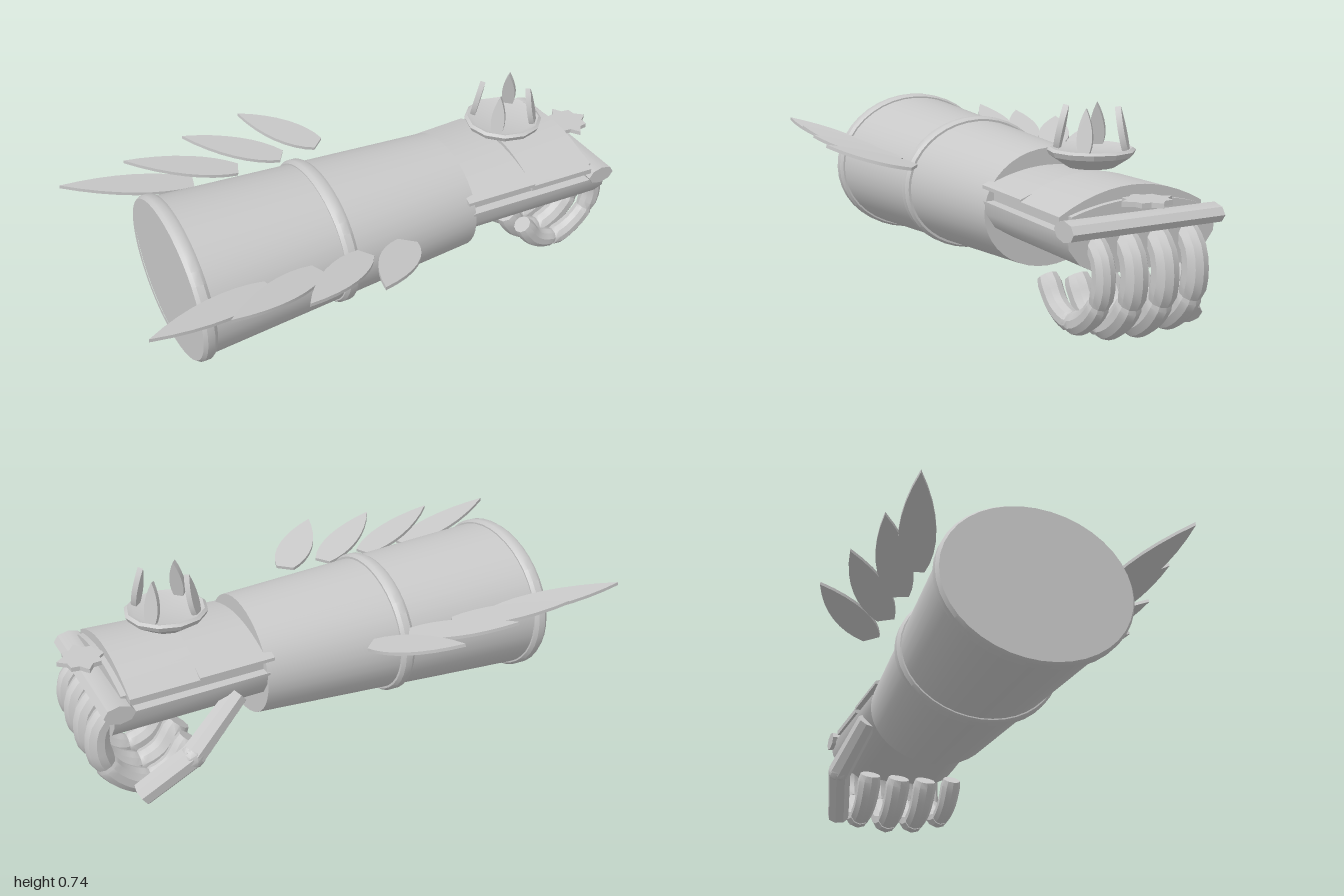
import * as THREE from 'three';
import { toCreasedNormals } from 'three/addons/utils/BufferGeometryUtils.js';

const grey = new THREE.MeshStandardMaterial({ color: 0xc8c8c8 });
grey.name = 'plain grey';
const V = (x, y, z) => new THREE.Vector3(x, y, z);

function add(parent, name, geometry, crease = 0.6) {
  const mesh = new THREE.Mesh(toCreasedNormals(geometry, crease), grey);
  mesh.name = name;
  parent.add(mesh);
  return mesh;
}

// Profile turned around the x axis, flattened into the arm's oval
function armLathe(points, x) {
  const g = new THREE.LatheGeometry(points.map(p => new THREE.Vector2(...p)), 40);
  return g.rotateZ(-Math.PI / 2).scale(1, 1, 1.2).translate(x, 0.36, 0);
}

// Cross-section in (z, y) extruded along x, widening towards the knuckles
function prism(points, x0, x1, widen = 0) {
  const shape = new THREE.Shape(points.map(p => new THREE.Vector2(...p)));
  const g = new THREE.ExtrudeGeometry(shape, { depth: x1 - x0, bevelEnabled: false });
  g.rotateY(Math.PI / 2).translate(x0, 0, 0);
  const pos = g.attributes.position;
  for (let i = 0; i < pos.count; i++) {
    pos.setZ(i, pos.getZ(i) * (1 + widen * (pos.getX(i) - 0.33)));
  }
  return g;
}

// Arched plate section, from edge height y0 up to crown height y1
function arch(halfWidth, y0, y1, thick) {
  const pts = [];
  for (let i = 0; i <= 12; i++) {
    const u = i / 6 - 1;
    pts.push([halfWidth * u, y0 + thick + (y1 - y0 - thick) * (1 - u * u)]);
  }
  pts.push([halfWidth, y0], [-halfWidth, y0]);
  return pts;
}

// Bent segment following a flat curve between t0 and t1, with closed ends
function bentSegment(curve, t0, t1, r0, r1, sides = 10) {
  const steps = 8, pos = [], index = [];
  const rings = [[0, 0], [0, 0.75]];
  for (let i = 1; i < steps; i++) rings.push([i / steps, 1]);
  rings.push([1, 0.85], [1, 0]);
  for (const [u, k] of rings) {
    const t = t0 + (t1 - t0) * u, c = curve.getPointAt(t), d = curve.getTangentAt(t);
    const r = k * (r0 + (r1 - r0) * u);
    for (let j = 0; j < sides; j++) {
      const a = j / sides * Math.PI * 2;
      pos.push(c.x - d.y * r * Math.cos(a), c.y + d.x * r * Math.cos(a), c.z + r * Math.sin(a));
    }
  }
  for (let i = 0; i < rings.length - 1; i++) {
    for (let j = 0; j < sides; j++) {
      const a = i * sides + j, b = i * sides + (j + 1) % sides;
      index.push(a, b, a + sides, b, b + sides, a + sides);
    }
  }
  const g = new THREE.BufferGeometry();
  g.setAttribute('position', new THREE.Float32BufferAttribute(pos, 3));
  g.setIndex(index);
  return g;
}

// Tapered rod between two points
function rod(a, b, r0, r1, sides = 8) {
  const d = b.clone().sub(a);
  const g = new THREE.CylinderGeometry(r1, r0, d.length(), sides);
  g.applyQuaternion(new THREE.Quaternion().setFromUnitVectors(V(0, 1, 0), d.normalize()));
  const mid = a.clone().add(b).multiplyScalar(0.5);
  return g.translate(mid.x, mid.y, mid.z);
}

// Thin pointed blade from base to tip, with its width along the given direction
function blade(base, tip, width, thick, across) {
  const L = base.distanceTo(tip), w = width / 2;
  const s = new THREE.Shape();
  s.moveTo(-w * 0.5, 0);
  s.lineTo(w * 0.5, 0);
  s.bezierCurveTo(w * 1.25, L * 0.25, w * 1.1, L * 0.62, 0, L);
  s.bezierCurveTo(-w * 1.1, L * 0.62, -w * 1.25, L * 0.25, -w * 0.5, 0);
  const g = new THREE.ExtrudeGeometry(s, { depth: thick, bevelEnabled: false, curveSegments: 8 });
  g.translate(0, 0, -thick / 2);
  const y = tip.clone().sub(base).normalize();
  const z = across.clone().cross(y).normalize();
  const x = y.clone().cross(z);
  return g.applyMatrix4(new THREE.Matrix4().makeBasis(x, y, z).setPosition(base));
}

export function createModel() {
  const model = new THREE.Group();
  model.name = 'gauntlet';

  // Forearm sleeve with two raised bands
  add(model, 'forearm', armLathe([[0, -0.555], [0.272, -0.555], [0.21, 0.555], [0, 0.555]], -0.225));
  for (const [name, x, r, w] of [['cuffBand', -0.76, 0.283, 0.026], ['middleBand', -0.205, 0.254, 0.026]]) {
    add(model, name, armLathe([[r - 0.03, -w], [r - 0.008, -w], [r, -w * 0.5], [r, w * 0.5],
      [r - 0.008, w], [r - 0.03, w]], x));
  }

  // Palm and layered back-of-hand plates
  const hand = new THREE.Group();
  hand.name = 'hand';
  model.add(hand);
  add(hand, 'palm', prism([[-0.25, 0.405], [-0.245, 0.36], [-0.21, 0.31], [-0.14, 0.27],
    [0.14, 0.27], [0.21, 0.31], [0.245, 0.36], [0.25, 0.405]], 0.32, 0.89, 0.2));
  add(hand, 'handCore', prism(arch(0.215, 0.4, 0.485, 0.05), 0.32, 0.85, 0.2));
  add(hand, 'wristPlate', prism(arch(0.245, 0.445, 0.51, 0.012), 0.3, 0.58, 0.2));
  add(hand, 'backPlate', prism(arch(0.245, 0.43, 0.525, 0.02), 0.57, 0.83, 0.2));
  add(hand, 'knuckleBar', new THREE.CylinderGeometry(1, 1, 0.57, 8)
    .rotateX(Math.PI / 2).scale(0.055, 0.034, 1).translate(0.873, 0.415, -0.005));

  // Four curled fingers, three overlapping segments each
  const path = [[0.85, 0.385], [0.915, 0.32], [0.925, 0.22], [0.875, 0.12],
    [0.77, 0.055], [0.67, 0.085], [0.6, 0.18]];
  const fingers = [[0.17, 0.9, 0.038], [0.057, 0.98, 0.045], [-0.058, 1.01, 0.046], [-0.176, 0.99, 0.044]];
  for (const [z, s, r] of fingers) {
    const curve = new THREE.CatmullRomCurve3(path.map(([x, y]) =>
      V(0.87 + (x - 0.87) * (s > 0.95 ? s : 0.98), 0.385 + (y - 0.385) * s, z)));
    const finger = new THREE.Group();
    finger.name = 'finger';
    hand.add(finger);
    for (const [a, b, r0, r1] of [[0, 0.38, 0.95, 1.03], [0.36, 0.68, 0.95, 1.05], [0.66, 1, 0.95, 1.08]]) {
      add(finger, 'fingerSegment', bentSegment(curve, a, b, r * r0, r * r1));
    }
  }

  // Thumb folded beside the fist
  const joint = V(0.635, 0.19, -0.297);
  add(hand, 'thumbBase', rod(V(0.44, 0.345, -0.235), joint, 0.04, 0.046));
  add(hand, 'thumbJoint', new THREE.IcosahedronGeometry(0.046, 1).translate(joint.x, joint.y, joint.z));
  add(hand, 'thumbTip', rod(joint, V(0.81, 0.06, -0.255), 0.045, 0.043));

  // Star ornament over the knuckles
  const star = new THREE.Shape();
  for (let i = 0; i < 16; i++) {
    const a = i / 16 * Math.PI * 2, r = i % 2 ? 0.06 : i % 4 ? 0.074 : 0.086;
    star[i ? 'lineTo' : 'moveTo'](r * Math.cos(a), r * Math.sin(a));
  }
  star.closePath();
  add(hand, 'starOrnament', new THREE.ExtrudeGeometry(star, { depth: 0.016, bevelEnabled: false })
    .rotateX(-Math.PI / 2).scale(1, 1, 1.1).translate(0.905, 0.478, 0));

  // Shallow dish with four claws
  const crown = new THREE.Group();
  crown.name = 'crown';
  crown.position.set(0.595, 0, 0);
  model.add(crown);
  const dish = [[0, 0.543], [0.08, 0.547], [0.138, 0.585], [0.146, 0.602], [0.135, 0.61], [0.115, 0.603], [0, 0.6]];
  add(crown, 'dish', new THREE.LatheGeometry(dish.map(p => new THREE.Vector2(...p)), 12), 0.4);
  for (const sx of [-1, 1]) for (const sz of [-1, 1]) {
    add(crown, 'claw', blade(V(sx * 0.082, 0.595, sz * 0.082), V(sx * 0.06, 0.745, sz * 0.06),
      0.052, 0.02, V(sx, 0, -sz).normalize()));
  }

  // Swept feather blades on both sides: base x, base z, tip x, tip z, width
  const feathers = [[-0.54, 0.335, -1.0, 0.455, 0.125], [-0.36, 0.335, -0.745, 0.495, 0.125],
    [-0.18, 0.335, -0.495, 0.545, 0.13], [-0.02, 0.345, -0.245, 0.59, 0.14]];
  for (const s of [-1, 1]) {
    for (const [bx, bz, tx, tz, w] of feathers) {
      const base = V(bx, 0.475, s * bz), tip = V(tx, 0.54, s * tz);
      const across = V(0, 1, 0).cross(tip.clone().sub(base)).normalize();
      add(model, s > 0 ? 'frontFeather' : 'rearFeather', blade(base, tip, w, 0.012, across));
    }
  }
  return model;
}
